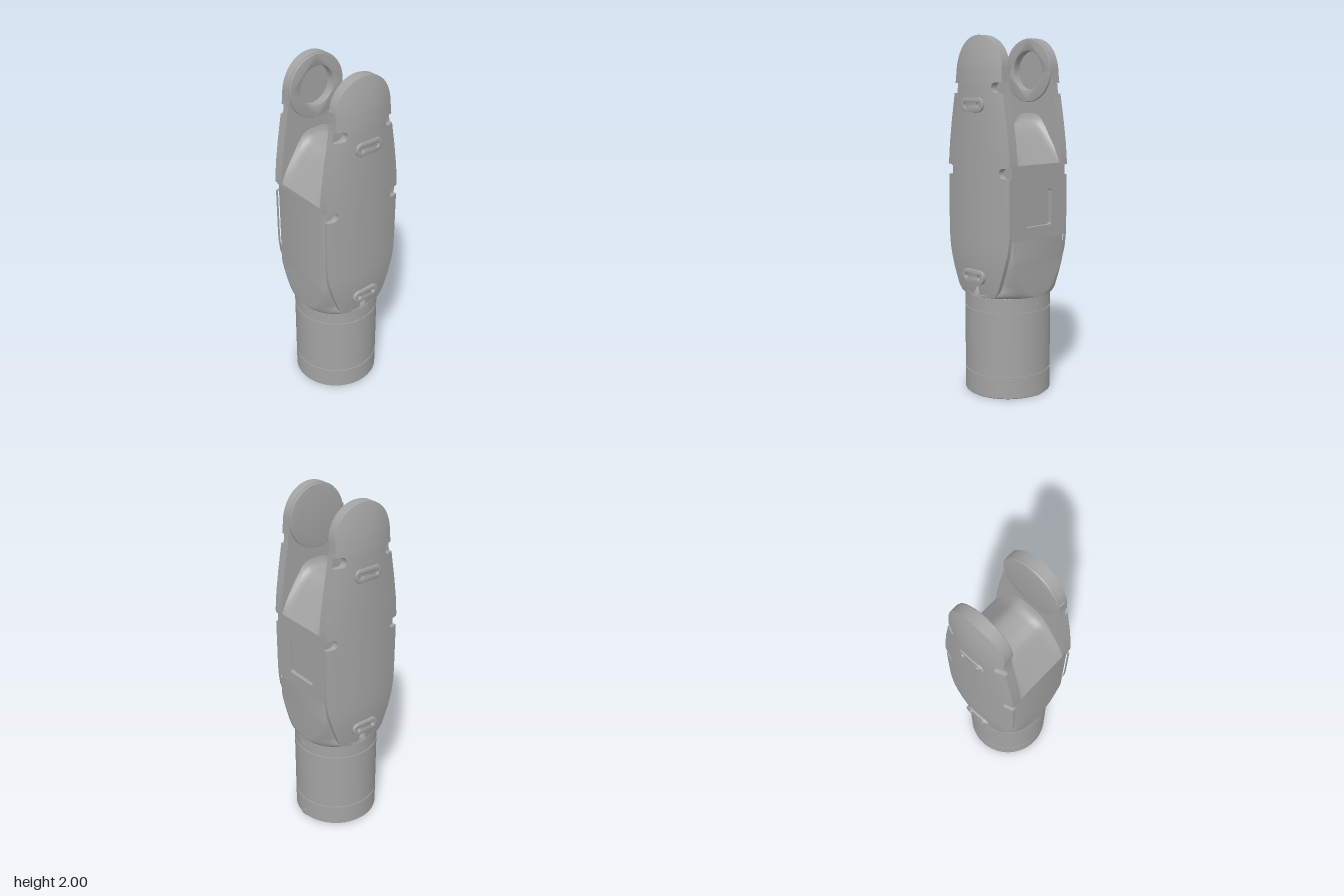
import * as THREE from 'three';
import { toCreasedNormals } from 'three/addons/utils/BufferGeometryUtils.js';

const grey = new THREE.MeshStandardMaterial({ color: 0xa3a3a3 });
grey.name = 'grey';

const TOP = 1.82, R = 0.18, SEAT = 0.206; // eye centre height, eye radius, depth where covers sit
// half-width of the shell by height
const OUTLINE = [[0.578, 0.1], [0.588, 0.135], [0.62, 0.16], [0.72, 0.198], [0.83, 0.232], [0.9, 0.242], [0.96, 0.245],
  [1.32, 0.245], [1.42, 0.236], [1.55, 0.217], [1.65, 0.199], [1.72, 0.187], [1.77, 0.181], [TOP, R]];

function halfWidth(y) {
  if (y >= TOP) return Math.sqrt(Math.max(0, R * R - (y - TOP) ** 2));
  const i = Math.max(1, OUTLINE.findIndex(p => p[0] >= y));
  const [a, b] = [OUTLINE[i - 1], OUTLINE[i]];
  return THREE.MathUtils.lerp(a[1], b[1], (y - a[0]) / (b[0] - a[0]));
}

function add(parent, name, geometry, z = 0) {
  const mesh = new THREE.Mesh(geometry, grey);
  mesh.name = name;
  mesh.position.z = z;
  parent.add(mesh);
  return mesh;
}

// skin over rows of [x, y, z] points
function skin(rows, crease = 0.5) {
  const n = rows[0].length, index = [];
  for (let i = 0; i < rows.length - 1; i++) {
    for (let j = 0; j < n - 1; j++) {
      const a = i * n + j, d = a + n;
      index.push(a, a + 1, d + 1, a, d + 1, d);
    }
  }
  const g = new THREE.BufferGeometry();
  g.setAttribute('position', new THREE.Float32BufferAttribute(rows.flat(2), 3));
  g.setIndex(index);
  return toCreasedNormals(g, crease);
}

function extrude(shape, depth, bevel = 0) {
  return toCreasedNormals(new THREE.ExtrudeGeometry(shape, {
    depth: depth - 2 * bevel, bevelEnabled: bevel > 0, bevelSize: bevel, bevelThickness: bevel,
    bevelOffset: -bevel, bevelSegments: 2, curveSegments: 32,
  }).translate(0, 0, bevel), 0.5);
}

function circle(Type, x, y, r) {
  return new Type().absarc(x, y, r, 0, Math.PI * 2, false);
}

function roundedRect(Type, w, h, r, y) {
  const s = new Type();
  s.absarc(w - r, y + h - r, r, 0, Math.PI / 2);
  s.absarc(-w + r, y + h - r, r, Math.PI / 2, Math.PI);
  s.absarc(-w + r, y - h + r, r, Math.PI, Math.PI * 1.5);
  s.absarc(w - r, y - h + r, r, Math.PI * 1.5, Math.PI * 2);
  s.closePath();
  return s;
}

// round base with two seams and a bored underside
function baseGeometry() {
  const profile = [[0, 0.16], [0.075, 0.16], [0.075, 0.03], [0.22, 0.03], [0.22, 0], [0.241, 0], [0.245, 0.004]];
  for (const y of [0.13, 0.495]) profile.push([0.245, y - 0.004], [0.24, y - 0.004], [0.24, y + 0.004], [0.245, y + 0.004]);
  profile.push([0.245, 0.575], [0.24, 0.58], [0, 0.58]);
  return toCreasedNormals(new THREE.LatheGeometry(profile.map(p => new THREE.Vector2(...p)), 72), 0.5);
}

// body changing from a circle to a box, set back on its left for the side panel
function bodyGeometry() {
  const ring = (y, left = 0.245) => {
    const hz = THREE.MathUtils.lerp(0.243, SEAT, THREE.MathUtils.smoothstep(y, 0.575, 0.65));
    const flat = Math.min(Math.sqrt(Math.max(0, y - 0.575) / 5.5), hz - 0.015);
    const r = hz - flat, points = [];
    for (let q = 0; q < 4; q++) {
      for (let k = 0; k <= 10; k++) {
        const t = (q + k / 10) * Math.PI / 2;
        const sx = q < 2 ? 1 : -1, sz = q === 0 || q === 3 ? 1 : -1;
        const x = sx * (0.245 - r) + r * Math.sin(t);
        points.push([Math.min(x, left), y, sz * flat + r * Math.cos(t)]);
      }
    }
    points.push(points[0]);
    return points;
  };
  const rows = [];
  for (let i = 0; i <= 20; i++) rows.push(ring(0.575 + 0.325 * (i / 20) ** 1.5));
  rows.push(ring(0.9, 0.222), ring(1.31, 0.222));
  return skin(rows);
}

// saddle between the arms, curving up into each of them
function saddleGeometry() {
  const half = [[0.245, 1.29], [0.245, 1.31], [0.2, 1.369], [0.13, 1.46], [0.1, 1.497], [0.08, 1.513], [0.05, 1.524], [0.02, 1.526]];
  const profile = [...half.map(([x, y]) => [-x, y]), ...half.slice().reverse()];
  const rows = [];
  for (const z of [0.17, 0.163, 0.158, 0.15, 0.14, 0.125, 0.105, 0, -0.105, -0.125, -0.14, -0.15, -0.158, -0.163, -0.17]) {
    const d = Math.min(0.06, Math.max(0, Math.abs(z) - 0.105));
    const rise = 0.06 - Math.sqrt(0.0036 - d * d);
    rows.push(profile.map(([x, y]) => [x, y + rise * (1 - (x / 0.245) ** 4), z]));
  }
  return skin(rows);
}

// domed cover with screw notches at its edges and a slot at its foot
const NOTCHES = [[1.27, 0.21], [1.72, 0.155]], NOTCH = 0.028, SLOT = 0.022, SLOT_TOP = 0.637;

function coverDepth(x, y) {
  const hw = y < 0.95 ? 0.245 : y < TOP ? halfWidth(y) : R;
  const up = Math.max(0, (y - 1.72) / 0.28), down = Math.max(0, (0.87 - y) / 0.29);
  return Math.max(0.214, 0.267 - 0.042 * (x / hw) ** 2 - 0.043 * up * up - 0.027 * down * down);
}

function coverGeometry() {
  const rows = [], N = 12;
  const row = (y, w = halfWidth(y), slot = false, sunk = false) => {
    const m = Math.min(SLOT, w * 0.4), xs = [], side = [];
    for (let i = 0; i <= N; i++) side.push(m + (w - m) * (1 - i / N));
    xs.push(...side.map(x => -x), ...side.reverse());
    const points = xs.map(x => [x, y, sunk ? SEAT : coverDepth(x, y)]);
    const floor = x => [x, y, slot ? SEAT + 0.004 : coverDepth(x, y)];
    points.splice(N + 1, 0, floor(-m), floor(m));
    rows.push([[-w, y, SEAT], ...points, [w, y, SEAT]]);
  };
  const bottom = OUTLINE[0][0];
  row(bottom, undefined, true, true);
  const ys = [...OUTLINE.map(p => p[0]), 0.6, 0.78, 0.87];
  for (let i = 1; i <= 16; i++) ys.push(TOP + R * Math.sin(i / 16 * Math.PI / 2));
  ys.push(SLOT_TOP);
  const plain = ys.filter(y => NOTCHES.every(([c]) => Math.abs(y - c) > NOTCH));
  const all = plain.map(y => ({ y }));
  for (const [c, x] of NOTCHES) {
    all.push({ y: c - NOTCH }, { y: c + NOTCH });
    for (let k = 0; k <= 12; k++) {
      const t = (k / 12 - 0.5) * Math.PI;
      all.push({ y: c + NOTCH * 0.9999 * Math.sin(t), w: x - NOTCH * Math.cos(t) });
    }
  }
  all.sort((a, b) => a.y - b.y);
  for (const { y, w } of all) {
    row(y, w, y <= SLOT_TOP);
    if (y === SLOT_TOP) row(y, w);
  }
  return skin(rows);
}

// arm with its eye, cover and two fixing plates; bored on one side only
function makeArm(name, bored) {
  const arm = new THREE.Group();
  arm.name = name;
  const side = OUTLINE.filter(p => p[0] >= 1.32 && p[0] < TOP).map(([y, x]) => [x, y]);
  const shape = new THREE.Shape();
  shape.moveTo(-0.245, 1.29).lineTo(0.245, 1.29);
  side.forEach(([x, y]) => shape.lineTo(x, y));
  shape.absarc(0, TOP, R, 0, Math.PI);
  side.reverse().forEach(([x, y]) => shape.lineTo(-x, y));
  const eye = circle(THREE.Shape, 0, TOP, 0.177);
  if (bored) for (const s of [shape, eye]) s.holes.push(circle(THREE.Path, 0, TOP, 0.11));
  add(arm, 'armShell', extrude(shape, SEAT - 0.167), 0.167);
  add(arm, 'eyeBoss', extrude(eye, 0.02, 0.004), 0.155);
  if (bored) {
    const floor = new THREE.CylinderGeometry(0.115, 0.115, 0.006, 40).rotateX(Math.PI / 2).translate(0, TOP, 0);
    add(arm, 'boreFloor', floor, 0.203);
  }
  add(arm, 'cover', coverGeometry());
  for (const y of [0.69, 1.63]) {
    const plate = roundedRect(THREE.Shape, 0.087, 0.039, 0.0385, y);
    for (const x of [-0.05, 0.05]) plate.holes.push(circle(THREE.Path, x, y, 0.013));
    add(arm, 'fixingPlate', extrude(plate, 0.023, 0.003), 0.25);
  }
  return arm;
}

export function createModel() {
  const model = new THREE.Group();
  model.name = 'forkJoint';
  add(model, 'base', baseGeometry());
  add(model, 'body', bodyGeometry());
  add(model, 'saddle', saddleGeometry());

  // left side panel with a square pocket
  const panel = new THREE.Shape();
  panel.moveTo(-SEAT, 0.9).lineTo(SEAT, 0.9).lineTo(SEAT, 1.31).lineTo(-SEAT, 1.31).closePath();
  panel.holes.push(roundedRect(THREE.Path, 0.1, 0.1, 0.012, 1.07));
  add(model, 'sidePanel', extrude(panel, 0.023).rotateY(Math.PI / 2).translate(0.222, 0, 0));

  // small index marks on the base
  for (const y of [0, 0.5]) {
    const mark = new THREE.Shape();
    mark.moveTo(-0.018, y).lineTo(0.018, y).absarc(0, y + 0.022, 0.018, 0, Math.PI);
    add(model, 'indexMark', extrude(mark, 0.006).rotateY(Math.PI / 2).translate(0.241, 0, 0));
  }

  const front = makeArm('frontArm', false);
  add(front, 'stopTab', new THREE.BoxGeometry(0.02, 0.06, 0.035).translate(-0.175, TOP, 0), 0.181);
  const back = makeArm('backArm', true);
  back.rotation.y = Math.PI;
  model.add(front, back);
  return model;
}
